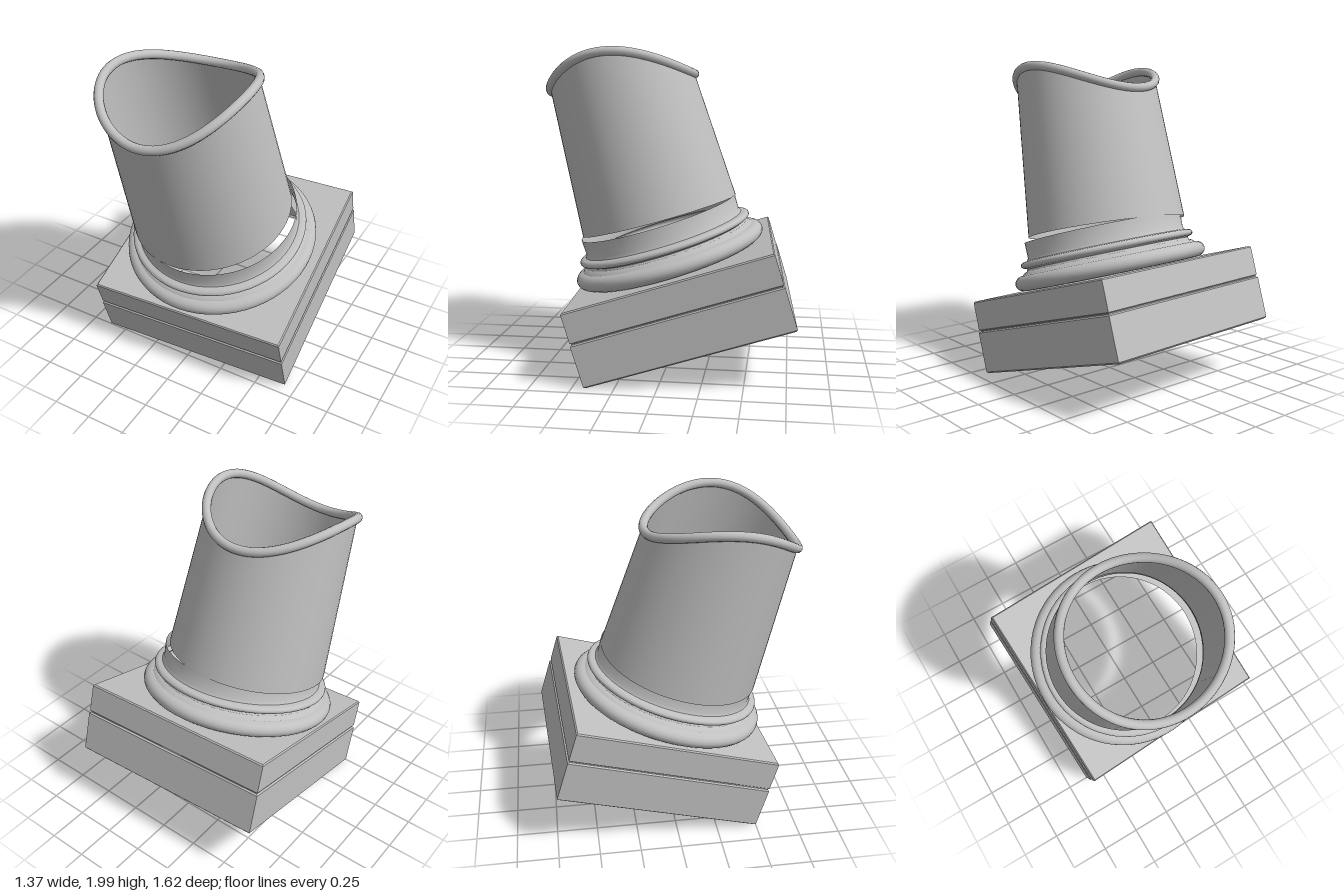
import * as THREE from 'three';
import { toCreasedNormals } from 'three/addons/utils/BufferGeometryUtils.js';

const stone = new THREE.MeshStandardMaterial({ color: 0xc0c0c0, side: THREE.DoubleSide });
stone.name = 'grey stone';

function part(name, geometry, parent) {
  const mesh = new THREE.Mesh(geometry, stone);
  mesh.name = name;
  parent.add(mesh);
  return mesh;
}

const points = (list) => list.map(([r, y]) => new THREE.Vector2(r, y));

// Half-round moulding profile bulging outwards around height y
function bulge(r, y, depth, half, steps = 8) {
  return Array.from({ length: steps + 1 }, (_, i) => {
    const a = -Math.PI / 2 + (Math.PI * i) / steps;
    return [r + depth * Math.cos(a), y + half * Math.sin(a)];
  });
}

// Column radius and saddle-shaped top edge
const columnRadius = (h) => 0.51 - 0.06 * h;
const topEdge = (a) => 0.966 + 0.068 * Math.cos(a) - 0.089 * Math.cos(2 * a);
function columnPoint(a, t) {
  const h = t * topEdge(a), r = columnRadius(h);
  return new THREE.Vector3(r * Math.sin(a), h, r * Math.cos(a));
}

export function createModel() {
  const model = new THREE.Group();
  model.name = 'brokenColumn';

  // Tilted pedestal, origin at the centre of its top face
  const pedestal = new THREE.Group();
  pedestal.name = 'pedestal';
  pedestal.rotation.set(0.297, 0.054, 0, 'YXZ');
  pedestal.position.set(0.005, 0.64, -0.02);
  model.add(pedestal);

  // Hollow square plinth: four thin walls with a groove, open below
  const half = 0.648, top = 0.47;
  const wall = [[half - 0.012, 0], [half, 0.01], [half, 0.265], [half - 0.01, 0.272],
    [half - 0.01, 0.278], [half - 0.003, 0.284], [half - 0.003, top - 0.008], [half - 0.01, top]];
  const walls = new THREE.LatheGeometry(
    points(wall.map(([r, y]) => [r * Math.SQRT2, y - top])), 4, Math.PI / 4).toNonIndexed();
  walls.computeVertexNormals();
  part('plinthWalls', walls, pedestal);

  // Plinth top with a round opening
  const s = half - 0.01;
  const square = new THREE.Shape(points([[-s, -s], [s, -s], [s, s], [-s, s]]));
  square.holes.push(new THREE.Path().absarc(-0.025, -0.02, 0.52, 0, Math.PI * 2, true));
  part('plinthTop', new THREE.ShapeGeometry(square, 48).rotateX(-Math.PI / 2), pedestal);

  // Round mouldings and the collar that holds the shaft
  const profile = [[0.52, 0], ...bulge(0.565, 0.052, 0.057, 0.05), [0.555, 0.112], [0.535, 0.122],
    [0.528, 0.135], ...bulge(0.535, 0.163, 0.03, 0.022), [0.52, 0.188], [0.511, 0.205], [0.513, 0.305]];
  const mouldings = toCreasedNormals(new THREE.LatheGeometry(points(profile), 64), 0.6);
  part('baseMouldings', mouldings, pedestal).position.set(-0.025, 0, 0.02);

  // Leaning hollow shaft, shifted a little off its collar
  const column = new THREE.Group();
  column.name = 'column';
  column.position.set(-0.045, 0.925, 0.085);
  column.quaternion.setFromUnitVectors(
    new THREE.Vector3(0, 1, 0), new THREE.Vector3(-0.048, 1, 0.288).normalize());
  model.add(column);

  const shaft = new THREE.CylinderGeometry(1, 1, 1, 64, 6, true);
  const pos = shaft.attributes.position;
  for (let i = 0; i < pos.count; i++) {
    const p = columnPoint(Math.atan2(pos.getX(i), pos.getZ(i)), pos.getY(i) + 0.5);
    pos.setXYZ(i, p.x, p.y, p.z);
  }
  part('shaft', toCreasedNormals(shaft, 0.6), column);

  // Rounded rim following the top edge
  const path = Array.from({ length: 32 }, (_, i) => columnPoint((i / 32) * Math.PI * 2, 1));
  part('rim', new THREE.TubeGeometry(new THREE.CatmullRomCurve3(path, true), 96, 0.028, 12, true), column);

  return model;
}
